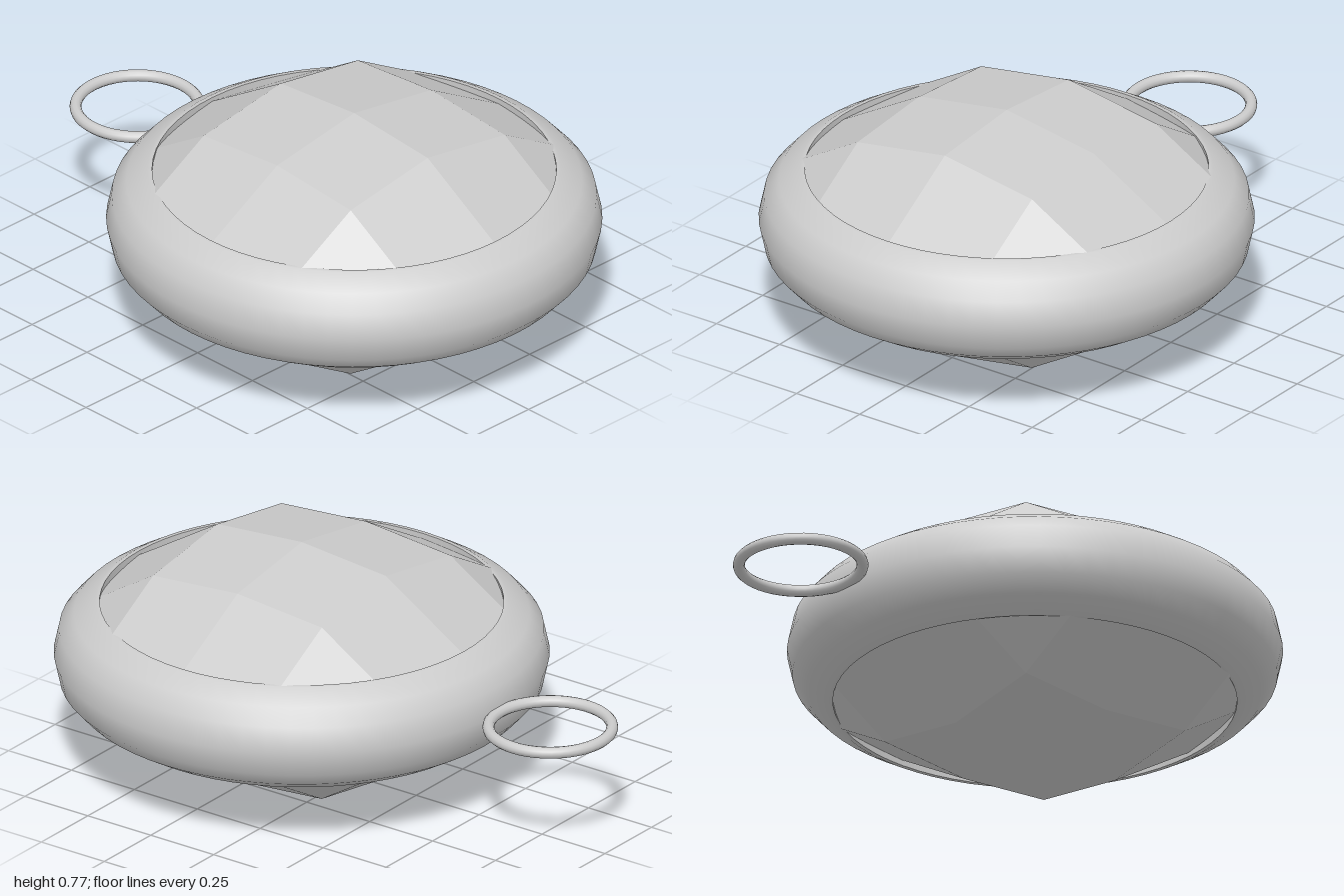
import * as THREE from 'three';

const MID = 0.385; // height of the mirror plane
const CX = 0.205; // x of the pendant's centre

const grey = (options = {}) => new THREE.MeshStandardMaterial({ color: 0xcccccc, ...options });

// Faceted dome: height is the sum of a bent line in x and a bent line in z
function domeGeometry() {
  const inX = 0.335, inZ = 0.345, rim = 0.68;
  const fall = (d, knee, drop, slope) =>
    d <= knee ? (drop * d) / knee : drop + (d - knee) * slope;
  const height = (x, z) =>
    0.383 - fall(Math.abs(x), inX, 0.028, 0.62) - fall(Math.abs(z), inZ, 0.054, 0.57);
  // Outermost grid points lie on a circle hidden inside the band
  const point = (i, j) => {
    let x = i * inX, z = j * inZ;
    const farX = Math.abs(i) === 2, farZ = Math.abs(j) === 2;
    if (farX && farZ) {
      x = Math.sign(i) * rim * Math.SQRT1_2;
      z = Math.sign(j) * rim * Math.SQRT1_2;
    } else if (farX) x = Math.sign(i) * Math.sqrt(rim * rim - z * z);
    else if (farZ) z = Math.sign(j) * Math.sqrt(rim * rim - x * x);
    return [x, height(x, z), z];
  };
  const positions = [];
  for (let i = -2; i < 2; i++) {
    for (let j = -2; j < 2; j++) {
      const a = point(i, j), b = point(i, j + 1), c = point(i + 1, j + 1), d = point(i + 1, j);
      positions.push(...a, ...b, ...c, ...a, ...c, ...d);
    }
  }
  const geometry = new THREE.BufferGeometry();
  geometry.setAttribute('position', new THREE.Float32BufferAttribute(positions, 3));
  geometry.computeVertexNormals();
  return geometry;
}

function lathe(points, material) {
  return new THREE.Mesh(
    new THREE.LatheGeometry(points.map(([r, y]) => new THREE.Vector2(r, y)), 64), material);
}

export function createModel() {
  const model = new THREE.Group();
  model.name = 'pendant';

  const body = new THREE.Group();
  body.name = 'body';
  body.position.set(CX, MID, 0);
  model.add(body);

  // Rounded band around the stone
  const half = [[0.646, 0.176], [0.66, 0.176], [0.728, 0.135], [0.775, 0.083]];
  const profile = [...half.map(([r, y]) => [r, -y]), [0.793, 0], ...half.slice().reverse()];
  const band = lathe(profile, grey());
  band.name = 'band';
  body.add(band);

  // Inner wall of the band
  const wall = lathe([[0.646, 0.176], [0.646, -0.176]], grey({ side: THREE.DoubleSide }));
  wall.name = 'bandInnerWall';
  body.add(wall);

  // Faceted stone, the same above and below
  const dome = domeGeometry();
  for (const [name, turn] of [['stoneTop', 0], ['stoneBottom', Math.PI]]) {
    const stone = new THREE.Mesh(dome, grey({ flatShading: true }));
    stone.name = name;
    stone.rotation.x = turn;
    body.add(stone);
  }

  // Hanging loop at the side
  const loop = new THREE.Mesh(new THREE.TorusGeometry(0.198, 0.019, 12, 48), grey());
  loop.name = 'hangingLoop';
  loop.rotation.x = Math.PI / 2;
  loop.position.set(-0.783, 0.388, 0);
  model.add(loop);

  return model;
}
